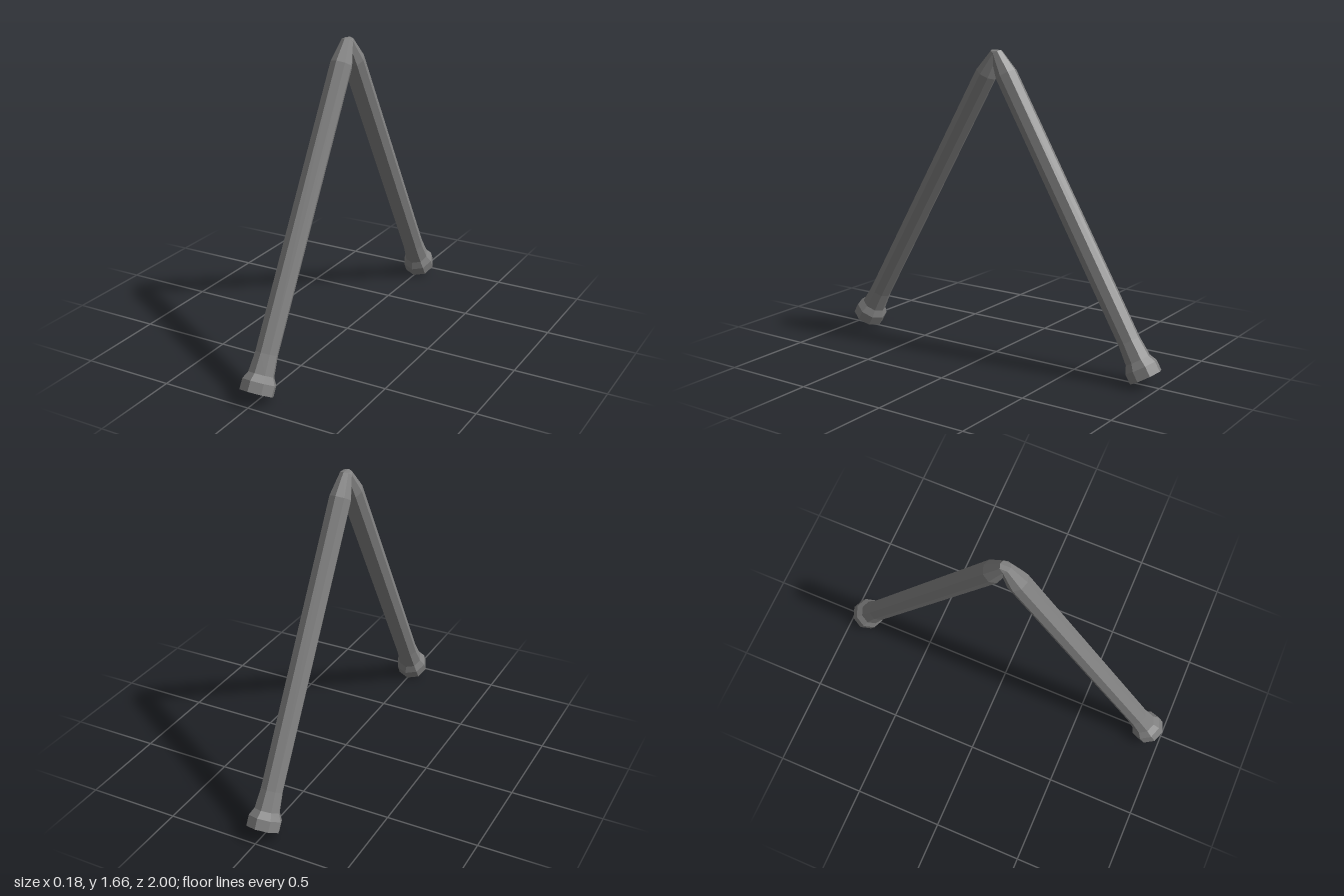
import * as THREE from 'three';
import { ConvexGeometry } from 'three/addons/geometries/ConvexGeometry.js';

const SIDES = 8;
const TILT = Math.PI / 6;
const LENGTH = 1.845;
const TIP_RADIUS = 0.033;

// Leg profile from foot to tip: [radius, distance along the leg]
const PROFILE = [
  [0, 0], [0.09, 0], [0.09, 0.056], [0.069, 0.095],
  [0.06, 0.2], [0.06, 1.717], [TIP_RADIUS, LENGTH], [0, LENGTH],
];

export function createModel() {
  const model = new THREE.Group();
  model.name = 'splayedLegs';
  const material = new THREE.MeshStandardMaterial({ color: 0x808080, flatShading: true });

  // Front leg, leaning back so its tip meets the centre
  const legGeometry = new THREE.LatheGeometry(
    PROFILE.map(([r, y]) => new THREE.Vector2(r, y)), SIDES);
  legGeometry.rotateX(-TILT);
  legGeometry.translate(0, 0.045, 0.922);

  // The same leg turned round for the back
  ['frontLeg', 'backLeg'].forEach((name, i) => {
    const leg = new THREE.Mesh(legGeometry, material);
    leg.name = name;
    leg.rotation.y = i * Math.PI;
    model.add(leg);
  });

  // Small joint bridging the two tip rings with a flat top
  const points = [];
  for (const side of [1, -1]) {
    for (let i = 0; i < SIDES; i++) {
      const a = (i / SIDES) * Math.PI * 2;
      const p = new THREE.Vector3(Math.sin(a), 0, Math.cos(a)).multiplyScalar(TIP_RADIUS);
      p.y = LENGTH;
      p.applyAxisAngle(new THREE.Vector3(1, 0, 0), -TILT);
      p.add(new THREE.Vector3(0, 0.045, 0.922));
      p.z *= side;
      points.push(p);
    }
  }
  const joint = new THREE.Mesh(new ConvexGeometry(points), material);
  joint.name = 'topJoint';
  model.add(joint);

  return model;
}
